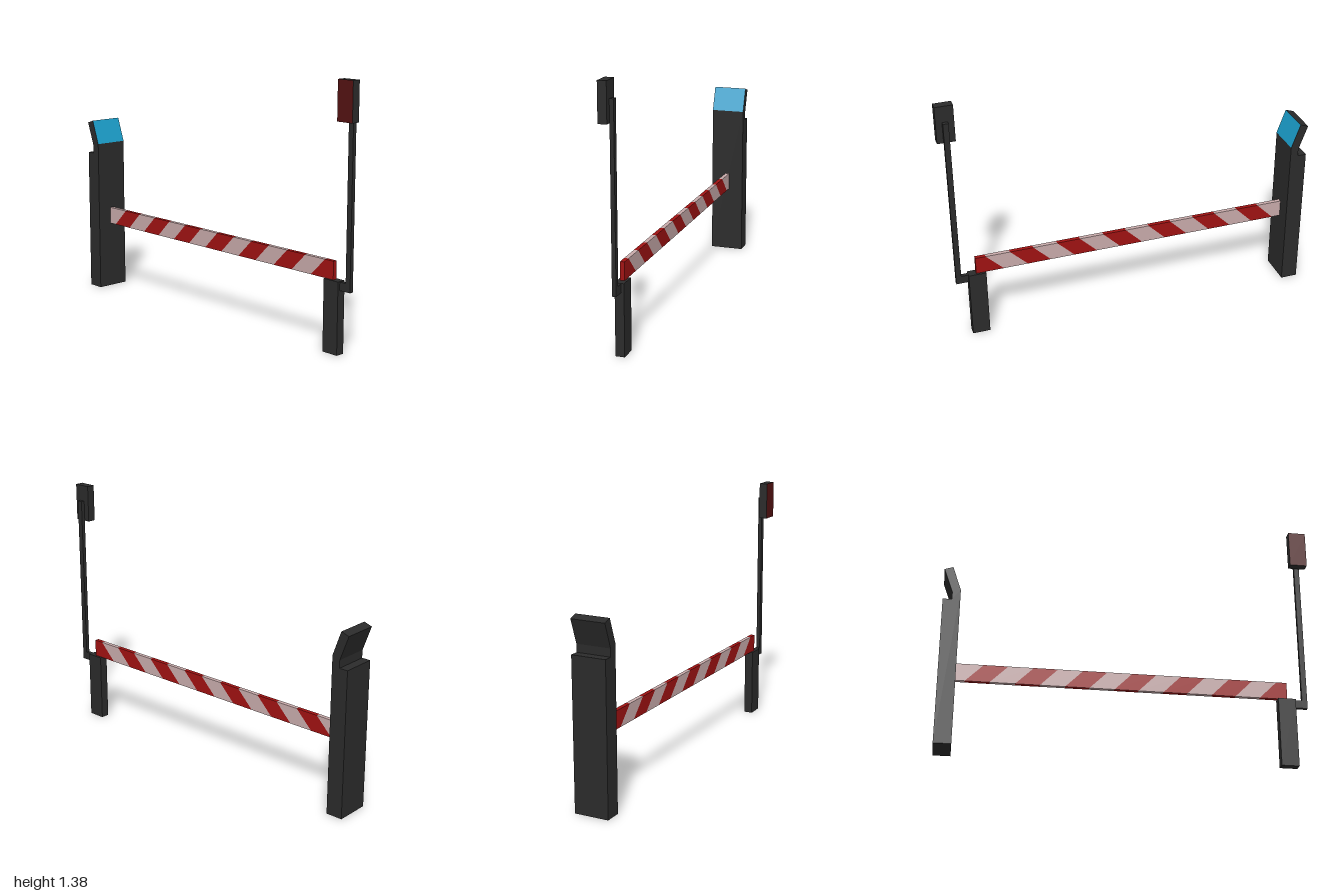
import * as THREE from 'three';

const paint = (color) => new THREE.MeshStandardMaterial({ color, flatShading: true });

export function createModel() {
  const model = new THREE.Group();
  const dark = paint(0x2b2b2b);
  const red = paint(0xa01212);
  const pale = paint(0xc8abab);
  const blue = paint(0x1a9cc8);
  const darkRed = paint(0x541212);

  const add = (name, geometry, material, parent = model) => {
    const mesh = new THREE.Mesh(geometry, material);
    mesh.name = name;
    parent.add(mesh);
    return mesh;
  };

  // Box given by its limits on each axis
  const box = (name, [x0, x1], [y0, y1], [z0, z1], material) => {
    const mesh = add(name, new THREE.BoxGeometry(x1 - x0, y1 - y0, z1 - z0), material);
    mesh.position.set((x0 + x1) / 2, (y0 + y1) / 2, (z0 + z1) / 2);
    return mesh;
  };

  // Front outline extruded evenly about z = 0
  const slab = (points, depth) => {
    const shape = new THREE.Shape(points.map(([x, y]) => new THREE.Vector2(x, y)));
    const geometry = new THREE.ExtrudeGeometry(shape, { depth, bevelEnabled: false });
    return geometry.translate(0, 0, -depth / 2);
  };

  // Tall terminal post with its tilted head
  const postDepth = 0.188;
  add('terminalPost', slab([
    [-1, 0], [-0.908, 0], [-0.908, 0.86], [-0.955, 0.993],
    [-1, 0.978], [-0.952, 0.845], [-0.952, 0.803], [-1, 0.803],
  ], postDepth), dark);

  // Screen covering the sloped face of the head
  const slope = new THREE.Vector2(-0.047, 0.133);
  const screen = add('screen', new THREE.PlaneGeometry(postDepth, slope.length()), blue);
  const normal = new THREE.Vector3(slope.y, -slope.x, 0).normalize();
  screen.position.set(-0.9315, 0.9265, 0).addScaledVector(normal, 0.001);
  screen.quaternion.setFromRotationMatrix(new THREE.Matrix4().makeBasis(
    new THREE.Vector3(0, 0, -1),
    new THREE.Vector3(slope.x, slope.y, 0).normalize(),
    normal,
  ));

  // Barrier arm split into slanted stripes
  const arm = new THREE.Group();
  arm.name = 'barrierArm';
  model.add(arm);
  const start = -0.908, end = 0.857, low = 0.378, high = 0.473;
  const lean = 0.095, period = 0.261, redWidth = 0.128;
  const stripe = (bottomLeft, topLeft, bottomRight, topRight, material, name) =>
    add(name, slab([
      [bottomLeft, low], [bottomRight, low], [topRight, high], [topLeft, high],
    ], 0.023), material, arm);
  let bottom = start, top = start;
  for (let i = 0; i < 7; i++) {
    const left = -0.86 + i * period;
    const right = i === 6 ? end : left + redWidth;
    const topRight = Math.min(right + lean, end);
    stripe(bottom, top, left, left + lean, pale, 'paleStripe');
    stripe(left, left + lean, right, topRight, red, 'redStripe');
    bottom = right;
    top = topRight;
  }

  // Short rest post, signal bracket, pole and lamp
  box('restPost', [0.805, 0.9], [0, 0.378], [-0.024, 0.024], dark);
  box('poleBracket', [0.9, 0.94], [0.332, 0.376], [-0.01, 0.011], dark);
  box('signalPole', [0.938, 0.967], [0.332, 1.29], [-0.01, 0.011], dark);
  box('signalHousing', [0.905, 1], [1.175, 1.378], [0.011, 0.057], dark);
  const lamp = add('signalLamp', new THREE.PlaneGeometry(0.095, 0.203), darkRed);
  lamp.position.set(0.9525, 1.2765, 0.058);

  return model;
}
